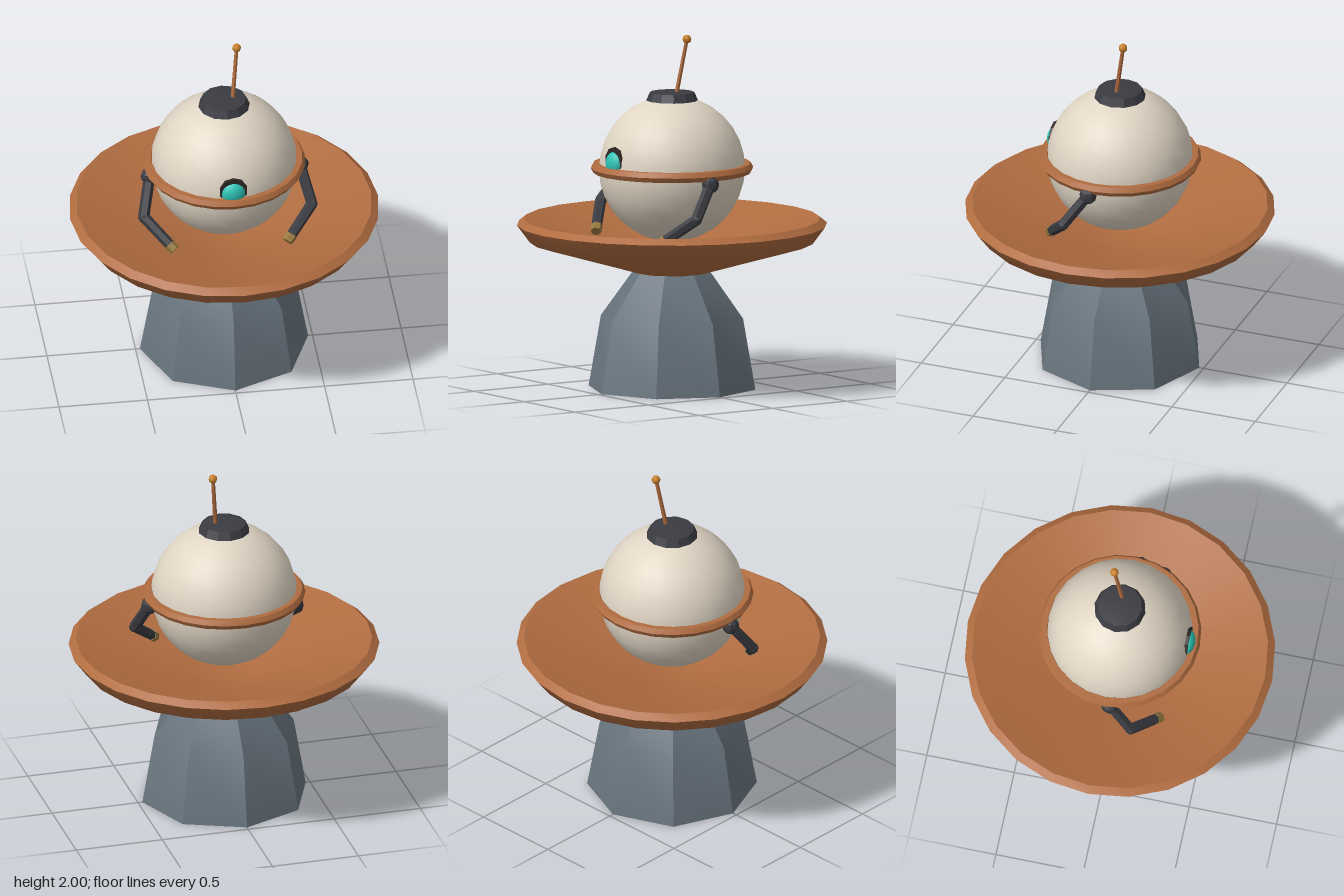
import * as THREE from 'three';
import { toCreasedNormals } from 'three/addons/utils/BufferGeometryUtils.js';

const paint = (color) => new THREE.MeshStandardMaterial({ color });
const shell = paint(0xe0d5c4), copper = paint(0xb06c40), slate = paint(0x68747e);
const dark = paint(0x3a3c42), socket = paint(0x2e2624), teal = paint(0x2ec4b6);
const amber = paint(0xc98028), brass = paint(0x98793f);

const V = (x, y, z) => new THREE.Vector3(x, y, z);

function add(parent, name, geometry, material, x = 0, y = 0, z = 0) {
  const mesh = new THREE.Mesh(geometry, material);
  mesh.name = name;
  mesh.position.set(x, y, z);
  parent.add(mesh);
  return mesh;
}

// Revolved profile, sharp where faces meet above the crease angle (degrees)
function turned(profile, sides, crease) {
  const points = profile.map(([r, y]) => new THREE.Vector2(r, y));
  return toCreasedNormals(new THREE.LatheGeometry(points, sides), crease * Math.PI / 180);
}

// Straight rod between two points
function rod(parent, name, a, b, r0, r1, sides, material) {
  const dir = b.clone().sub(a);
  const geo = toCreasedNormals(new THREE.CylinderGeometry(r1, r0, dir.length(), sides), 0.5);
  const mesh = add(parent, name, geo, material);
  mesh.position.copy(a).lerp(b, 0.5);
  mesh.quaternion.setFromUnitVectors(V(0, 1, 0), dir.normalize());
  return mesh;
}

export function createModel() {
  const model = new THREE.Group();
  model.name = 'saucerRobot';

  // Eight-sided pedestal
  add(model, 'pedestal', turned([[0, 0], [0.475, 0], [0.405, 0.4], [0.215, 0.665], [0, 0.665]], 8, 32), slate);

  // Hollow dish with a bevelled rim
  add(model, 'dish', turned([
    [0, 0.655], [0.2, 0.655], [0.8, 0.83], [0.87, 0.925], [0.83, 0.957], [0.2, 0.76], [0, 0.74],
  ], 24, 40), copper);

  // Body and belt
  add(model, 'body', new THREE.SphereGeometry(0.41, 24, 16), shell, 0, 1.24, 0);
  const belt = new THREE.TorusGeometry(0.425, 0.031, 6, 24);
  belt.rotateX(Math.PI / 2);
  add(model, 'belt', toCreasedNormals(belt, 0.6), copper, 0, 1.245, 0);

  // Top cap and antenna
  add(model, 'cap', turned([[0, 1.6], [0.145, 1.625], [0.125, 1.67], [0, 1.685]], 12, 25), dark);
  const tip = V(0.078, 1.975, -0.048);
  rod(model, 'antenna', V(0.048, 1.66, 0.004), tip, 0.013, 0.011, 6, copper);
  add(model, 'antennaBall', new THREE.SphereGeometry(0.025, 8, 6), amber, tip.x, tip.y, tip.z);

  // Eye set in a round socket
  const socketGeo = new THREE.CylinderGeometry(0.08, 0.08, 0.08, 10);
  socketGeo.rotateX(Math.PI / 2);
  add(model, 'eyeSocket', toCreasedNormals(socketGeo, 0.5), socket, 0, 1.31, 0.358);
  const eye = add(model, 'eye', new THREE.SphereGeometry(0.07, 16, 10), teal, 0, 1.295, 0.385);
  eye.scale.z = 0.65;

  // Mirrored arms: shoulder, upper arm, elbow, forearm, hand
  for (const side of [1, -1]) {
    const arm = new THREE.Group();
    arm.name = side > 0 ? 'leftArm' : 'rightArm';
    const shoulder = V(side * 0.425, 1.2, 0.03);
    const elbow = V(side * 0.475, 1.015, 0.16);
    const wrist = V(side * 0.345, 0.895, 0.275);
    const hand = wrist.clone().add(wrist.clone().sub(elbow).setLength(0.045));
    add(arm, 'shoulder', toCreasedNormals(new THREE.SphereGeometry(0.05, 8, 6), 0.5), dark, shoulder.x, shoulder.y, shoulder.z);
    rod(arm, 'upperArm', shoulder, elbow, 0.032, 0.032, 6, dark);
    add(arm, 'elbow', new THREE.SphereGeometry(0.032, 8, 6), dark, elbow.x, elbow.y, elbow.z);
    rod(arm, 'forearm', elbow, wrist, 0.032, 0.03, 6, dark);
    rod(arm, 'hand', wrist, hand, 0.034, 0.03, 6, brass);
    model.add(arm);
  }
  return model;
}
